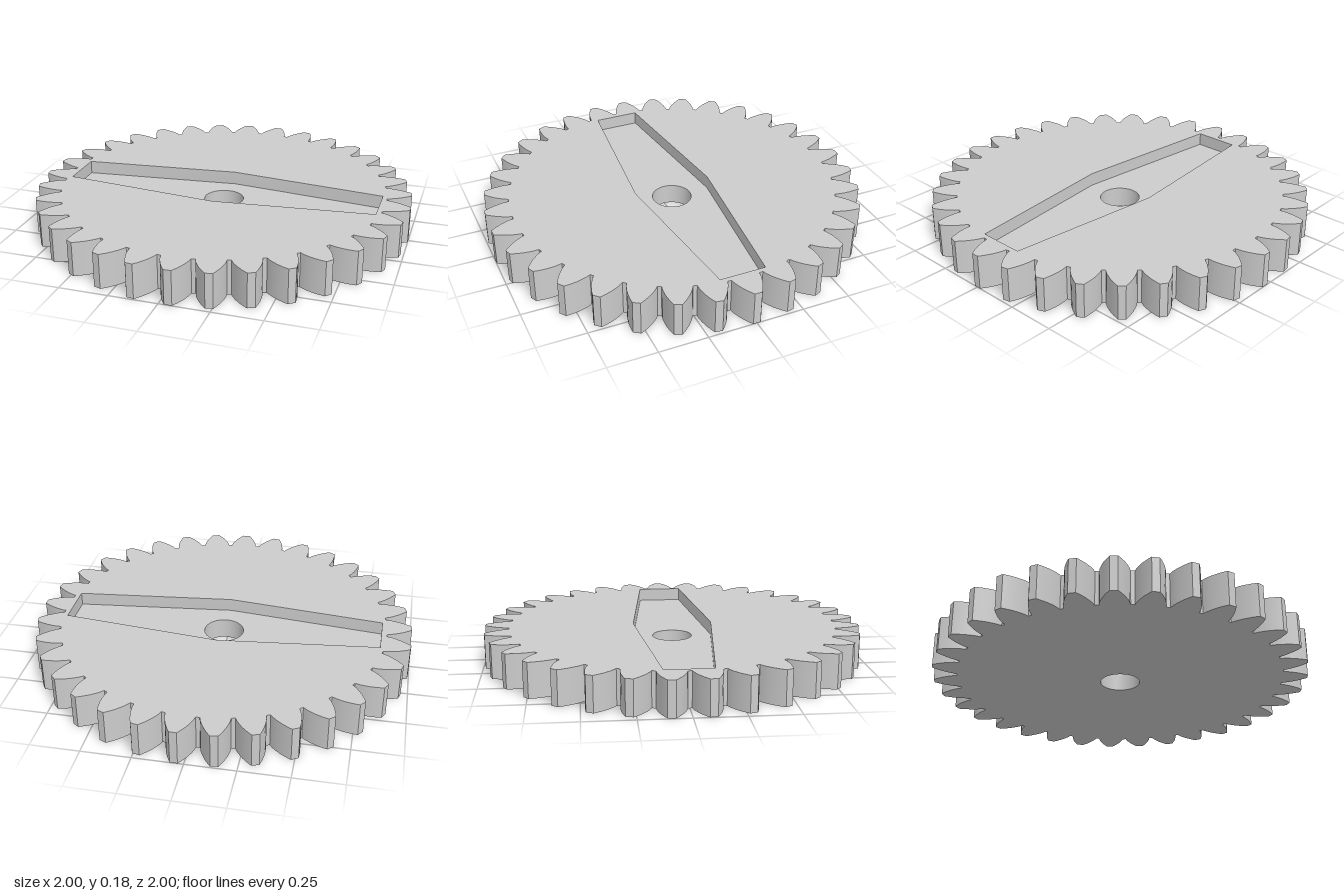
import * as THREE from 'three';
import { toCreasedNormals } from 'three/addons/utils/BufferGeometryUtils.js';

const HEIGHT = 0.18, FLOOR = 0.11, TEETH = 33, HOLE_RADIUS = 0.105;
const material = new THREE.MeshStandardMaterial({ color: 0xcccccc });

// Tooth flank: [radius, half width], root to tip
const FLANK = [[0.87, 0.073], [0.895, 0.069], [0.92, 0.061], [0.945, 0.051], [0.97, 0.038], [0.99, 0.026], [1.0, 0.019]];

function gearOutline() {
  const points = [];
  for (let i = 0; i < TEETH; i++) {
    const centre = (i / TEETH) * Math.PI * 2;
    const add = (r, w) => {
      const a = centre + w / r;
      points.push(new THREE.Vector2(r * Math.cos(a), r * Math.sin(a)));
    };
    FLANK.forEach(([r, w]) => add(r, -w));
    [...FLANK].reverse().forEach(([r, w]) => add(r, w));
  }
  return points;
}

function circleOutline(radius, segments) {
  return Array.from({ length: segments }, (_, i) => {
    const a = (i / segments) * Math.PI * 2;
    return new THREE.Vector2(radius * Math.cos(a), radius * Math.sin(a));
  });
}

// Flat horizontal face with one hole, facing up or down
function face(name, outline, hole, y, up) {
  const shape = new THREE.Shape(outline);
  shape.holes.push(new THREE.Path(hole));
  const geometry = new THREE.ShapeGeometry(shape);
  geometry.rotateX(up ? -Math.PI / 2 : Math.PI / 2).translate(0, y, 0);
  const mesh = new THREE.Mesh(geometry, material);
  mesh.name = name;
  return mesh;
}

// Vertical wall along a closed outline, facing outward or inward
function wall(name, outline, y0, y1, inward) {
  const loop = inward ? [...outline].reverse() : outline;
  const positions = [];
  loop.forEach((a, i) => {
    const b = loop[(i + 1) % loop.length];
    positions.push(a.x, y0, -a.y, b.x, y0, -b.y, b.x, y1, -b.y);
    positions.push(a.x, y0, -a.y, b.x, y1, -b.y, a.x, y1, -a.y);
  });
  const geometry = new THREE.BufferGeometry();
  geometry.setAttribute('position', new THREE.Float32BufferAttribute(positions, 3));
  const mesh = new THREE.Mesh(toCreasedNormals(geometry, 0.6), material);
  mesh.name = name;
  return mesh;
}

export function createModel() {
  const model = new THREE.Group();
  model.name = 'gear';

  const gear = gearOutline();
  const bore = circleOutline(HOLE_RADIUS, 48);
  // Pocket for a double-ended tapered arm
  const pocket = [[0.84, -0.12], [0.84, 0.12], [0, 0.21], [-0.84, 0.12], [-0.84, -0.12], [0, -0.21]]
    .map(([x, y]) => new THREE.Vector2(x, y));

  model.add(
    wall('toothedRim', gear, 0, HEIGHT, false),
    face('topFace', gear, pocket, HEIGHT, true),
    face('bottomFace', gear, bore, 0, false),
    wall('pocketWall', pocket, FLOOR, HEIGHT, true),
    face('pocketFloor', pocket, bore, FLOOR, true),
    wall('axleBore', bore, 0, FLOOR, true),
  );
  return model;
}
